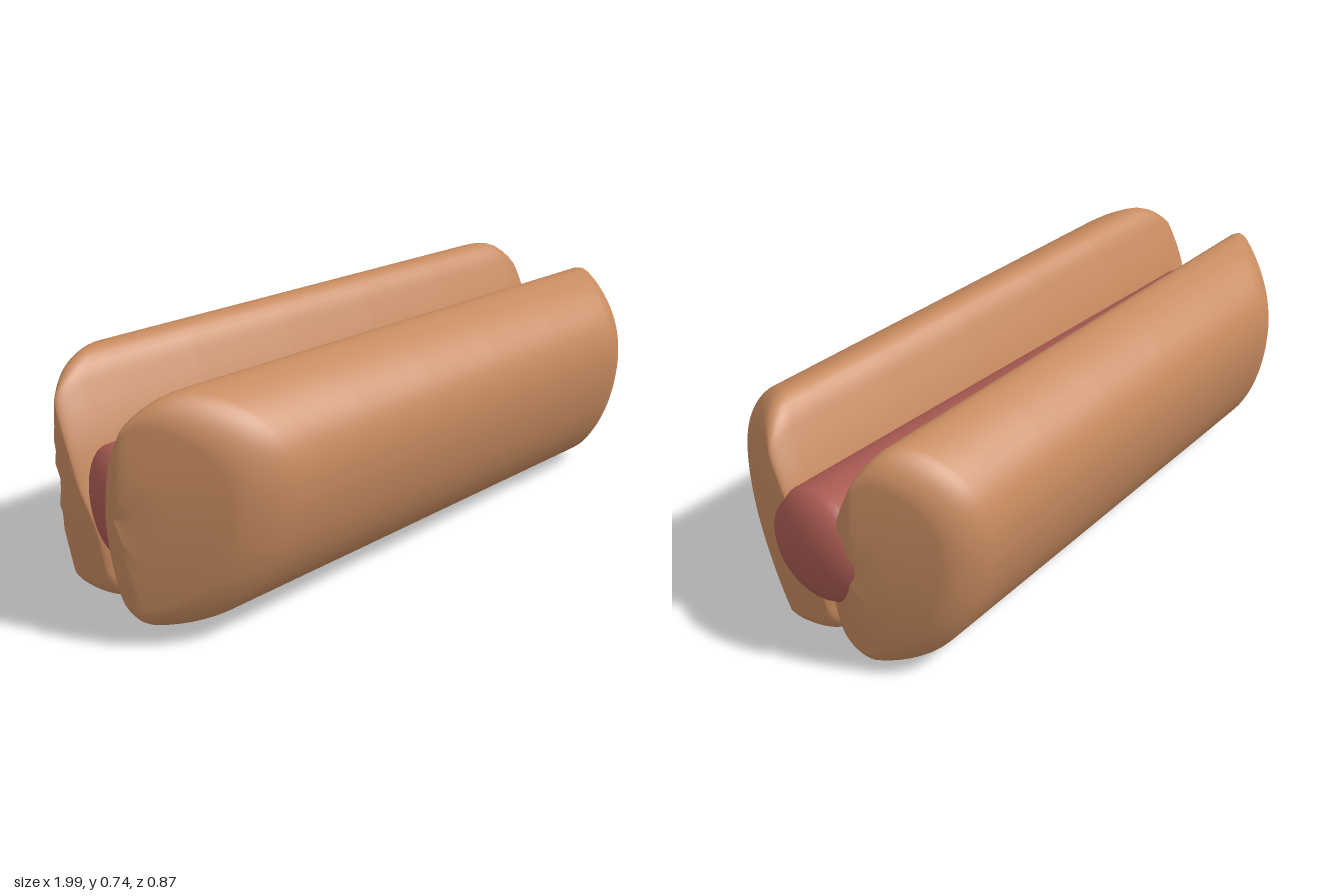
import * as THREE from 'three';

// Slight downhill lean of the whole thing towards +x
const lean = (x) => 0.018 - 0.022 * x;
const CENTRE = { z: 0.12, y: 0.36 };

// Cross-section of one bun half, as (z, y): bottom, outer wall, top, inner wall
const section = new THREE.CatmullRomCurve3([
  [0.025, 0.008], [0.1, 0.002], [0.2, 0.016], [0.285, 0.065], [0.355, 0.155], [0.405, 0.265],
  [0.433, 0.4], [0.43, 0.5], [0.4, 0.58], [0.34, 0.645], [0.26, 0.69], [0.205, 0.7],
  [0.167, 0.672], [0.13, 0.605], [0.085, 0.5], [0.05, 0.38], [0.012, 0.26], [0.001, 0.18],
  [0.001, 0.1], [0.002, 0.035],
].map(([z, y]) => new THREE.Vector3(z, y, 0)), true, 'centripetal').getSpacedPoints(96).slice(0, -1);

// Length of the bun at a point of its slanted, softly domed end face
const endLength = (z, y, reach, slope) =>
  reach - slope * Math.max(0, z - 0.15) - 2 * Math.max(0, 0.15 - z) ** 2 - 0.3 * (y - CENTRE.y) ** 2;

// Rings of one end, from the closed middle of the face out to the full section
function endRings(dir, reach, slope, round) {
  const steps = [0, 0.2, 0.4, 0.6].map((s) => [s, 0]);
  for (let i = 0; i <= 10; i++) {
    const t = (Math.PI / 2) * (1 - i / 10);
    steps.push([1 - 0.22 * (1 - Math.cos(t)), round * (1 - Math.sin(t))]);
  }
  return steps.map(([s, back]) => section.map((p) => {
    const z = CENTRE.z + s * (p.x - CENTRE.z);
    const y = CENTRE.y + s * (p.y - CENTRE.y);
    return new THREE.Vector3(dir * (endLength(z, y, reach, slope) - back), y, z);
  }));
}

// One bun half; side is +1 for the front, -1 for the back
function bunGeometry(side) {
  const a = endRings(-1, 1.0, 0.9, 0.1);
  const b = endRings(1, 0.955, 0.5, 0.08).reverse();
  const middle = [0.04, 0.2, 0.4, 0.6, 0.8, 0.96].map((t) =>
    a[a.length - 1].map((p, j) => p.clone().lerp(b[0][j], t)));
  const rings = [...a, ...middle, ...b];
  const n = section.length;
  const positions = [];
  const index = [];
  rings.forEach((ring, i) => ring.forEach((p, j) => {
    positions.push(p.x, p.y + lean(p.x), side * p.z);
    if (i === rings.length - 1) return;
    const k = (j + 1) % n;
    const [p0, p1, q0, q1] = [i * n + j, i * n + k, (i + 1) * n + j, (i + 1) * n + k];
    if (side > 0) index.push(p0, q0, p1, p1, q0, q1);
    else index.push(p0, p1, q0, p1, q1, q0);
  }));
  const geometry = new THREE.BufferGeometry();
  geometry.setAttribute('position', new THREE.Float32BufferAttribute(positions, 3));
  geometry.setIndex(index);
  geometry.computeVertexNormals();
  return geometry;
}

// Sausage: a turned bar with shallow domed ends, laid along x
function sausageGeometry() {
  const profile = [];
  const dome = (x, dir, t) =>
    new THREE.Vector2(0.169 * Math.sin(t), x + dir * 0.085 * Math.cos(t));
  for (let i = 0; i <= 14; i++) profile.push(dome(-0.885, -1, (i / 14) * Math.PI / 2));
  for (let i = 14; i >= 0; i--) profile.push(dome(0.91, 1, (i / 14) * Math.PI / 2));
  return new THREE.LatheGeometry(profile, 48).rotateZ(-Math.PI / 2);
}

export function createModel() {
  const group = new THREE.Group();
  group.name = 'hotDog';
  const bread = new THREE.MeshStandardMaterial({ color: 0xc68a5f });
  const meat = new THREE.MeshStandardMaterial({ color: 0xa95a52 });

  // Two mirrored bun halves
  for (const [name, side] of [['frontBunHalf', 1], ['backBunHalf', -1]]) {
    const bun = new THREE.Mesh(bunGeometry(side), bread);
    bun.name = name;
    group.add(bun);
  }

  // Sausage held between them
  const sausage = new THREE.Mesh(sausageGeometry(), meat);
  sausage.name = 'sausage';
  sausage.position.y = 0.357;
  group.add(sausage);
  return group;
}
